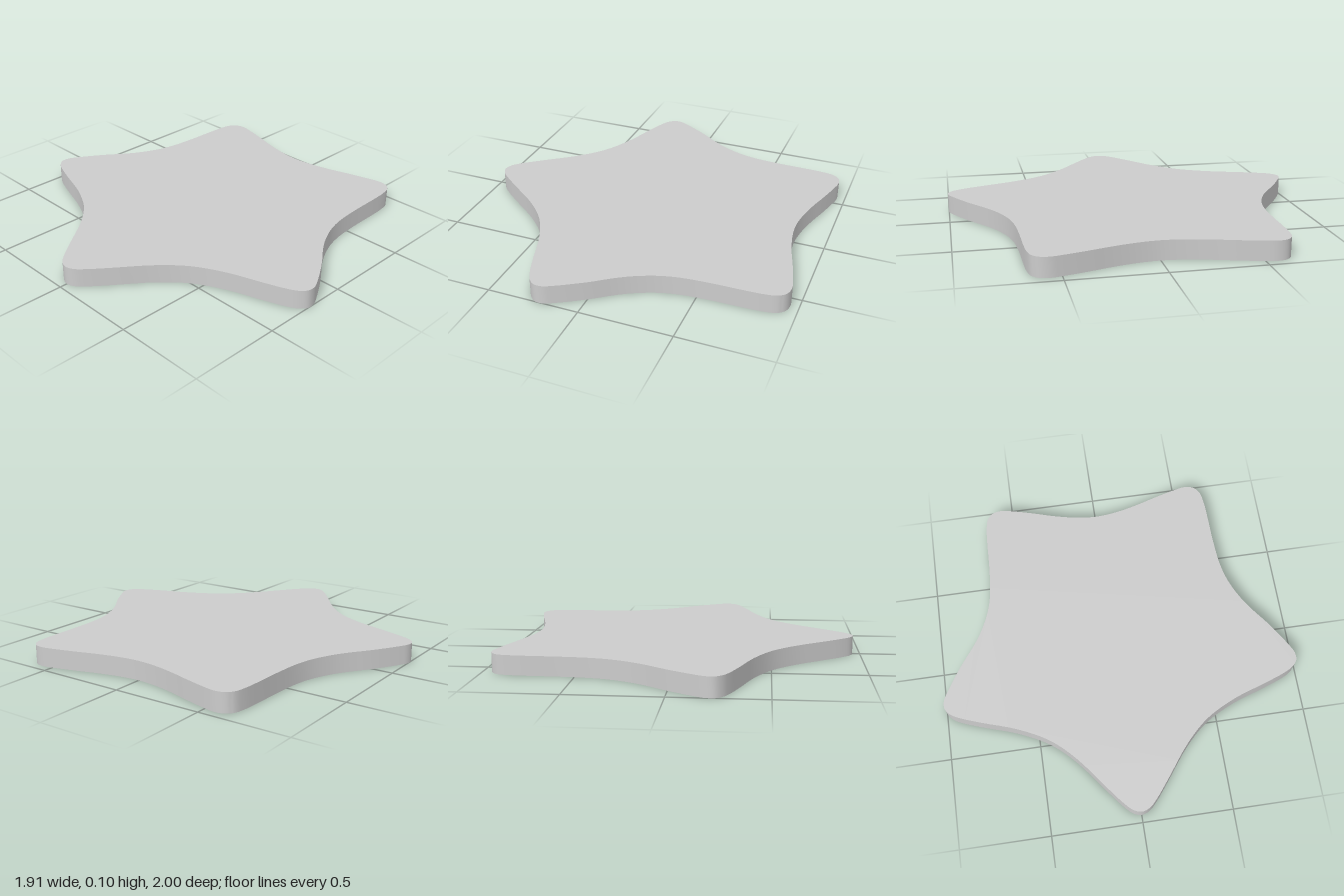
import * as THREE from 'three';
import { toCreasedNormals } from 'three/addons/utils/BufferGeometryUtils.js';

const THICKNESS = 0.105;

// Half of the star outline, from the pointed arm round to the notch opposite it
const HALF = [
  [-0.958, 0], [-0.943, 0.045], [-0.9, 0.09], [-0.8, 0.17], [-0.62, 0.31], [-0.5, 0.44],
  [-0.41, 0.61], [-0.345, 0.8], [-0.3, 0.92], [-0.272, 0.97], [-0.235, 0.999], [-0.19, 0.999],
  [-0.14, 0.975], [0, 0.888], [0.12, 0.8], [0.2, 0.752], [0.31, 0.705], [0.42, 0.68],
  [0.58, 0.668], [0.75, 0.664], [0.85, 0.658], [0.91, 0.644], [0.944, 0.612], [0.955, 0.56],
  [0.942, 0.49], [0.91, 0.37], [0.87, 0.235], [0.843, 0.11], [0.833, 0],
];

export function createModel() {
  const group = new THREE.Group();
  group.name = 'starPlate';

  // Mirror the half outline and smooth it into one closed curve
  const mirrored = HALF.slice(1, -1).reverse().map(([x, y]) => [x, -y]);
  const points = [...HALF, ...mirrored].map(([x, y]) => new THREE.Vector3(x, y, 0));
  const outline = new THREE.CatmullRomCurve3(points, true, 'centripetal')
    .getPoints(points.length * 4).slice(0, -1)
    .map((p) => new THREE.Vector2(p.x, p.y));

  // Flat slab with smooth side walls and sharp rims
  const slab = new THREE.ExtrudeGeometry(new THREE.Shape(outline), {
    depth: THICKNESS, bevelEnabled: false,
  });
  slab.rotateX(-Math.PI / 2);

  const star = new THREE.Mesh(
    toCreasedNormals(slab, Math.PI / 5),
    new THREE.MeshStandardMaterial({ color: 0xcccccc }),
  );
  star.name = 'star';
  group.add(star);
  return group;
}
